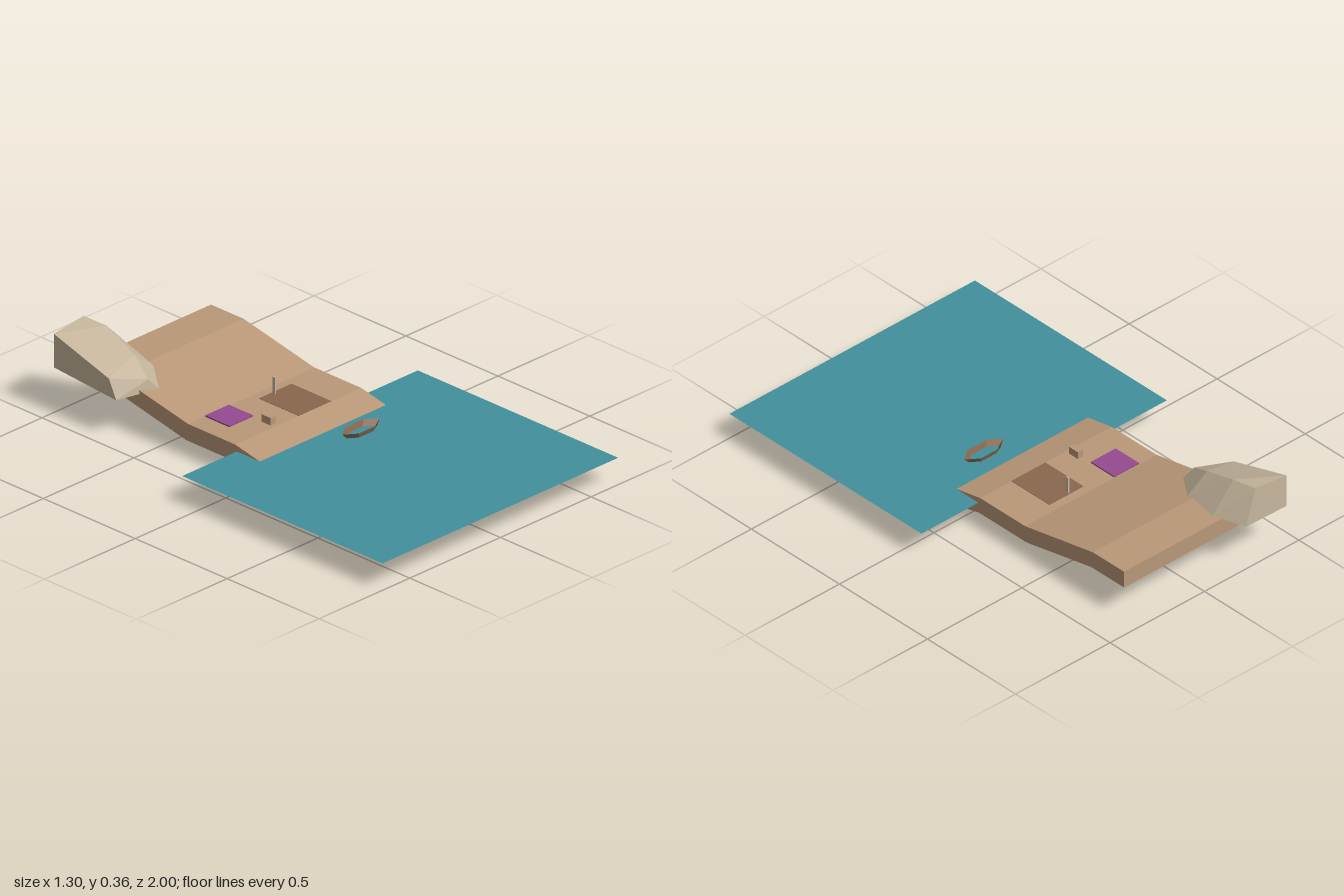
import * as THREE from 'three';
import { ConvexGeometry } from 'three/addons/geometries/ConvexGeometry.js';

function material(name, color, flatShading = true, side = THREE.FrontSide) {
  const m = new THREE.MeshStandardMaterial({ color, flatShading, side });
  m.name = name;
  return m;
}

export function createModel() {
  const group = new THREE.Group();
  const sand = material('sand', 0xba9878);
  const water = material('water', 0x42919c, false, THREE.DoubleSide);
  const stone = material('stone', 0xc6b69c);
  const wood = material('wood', 0x8a674f, true, THREE.DoubleSide);
  const purple = material('purple cloth', 0x954a92);

  const add = (name, geometry, mat, x = 0, y = 0, z = 0) => {
    const mesh = new THREE.Mesh(geometry, mat);
    mesh.name = name;
    mesh.position.set(x, y, z);
    group.add(mesh);
    return mesh;
  };
  // Axis-aligned box from its min and max corners
  const box = (name, mat, [x0, y0, z0], [x1, y1, z1]) =>
    add(name, new THREE.BoxGeometry(x1 - x0, y1 - y0, z1 - z0), mat,
      (x0 + x1) / 2, (y0 + y1) / 2, (z0 + z1) / 2);

  // Beach: stepped slab, side profile in (z, y) extruded across x
  const profile = [
    [0.2, 0], [0.215, 0.08], [-0.1, 0.143], [-0.355, 0.143], [-0.74, 0.22], [-0.917, 0.22],
    [-0.917, 0.145], [-0.73, 0.145], [-0.365, 0.07], [-0.095, 0.07],
  ].map(([z, y]) => new THREE.Vector2(-z, y));
  const beachGeo = new THREE.ExtrudeGeometry(new THREE.Shape(profile), { depth: 0.696, bevelEnabled: false });
  beachGeo.translate(0, 0, -0.348).rotateY(Math.PI / 2);
  add('beach', beachGeo, sand);

  // Sea: flat sheet that meets the slope
  add('sea', new THREE.PlaneGeometry(1.3, 1.09).rotateX(-Math.PI / 2), water, 0, 0.116, 0.455);

  // Rock: faceted boulder, cut flat at the back and outer side
  const rockPoints = [
    [-0.435, 0.34, -1], [-0.27, 0.36, -1], [-0.255, 0.35, -0.89], [-0.275, 0.292, -0.72],
    [-0.31, 0.235, -0.61], [-0.435, 0.25, -0.7],
    [-0.275, 0.19, -0.585], [-0.18, 0.215, -0.71], [-0.155, 0.22, -0.88],
    [-0.22, 0.2, -1], [-0.435, 0.195, -1], [-0.435, 0.17, -0.66],
  ].map((p) => new THREE.Vector3(...p));
  add('rock', new ConvexGeometry(rockPoints), stone);

  // Boat: open six-sided hull, stretched along x
  const sides = new THREE.CylinderGeometry(0.103, 0.066, 0.038, 6, 1, true);
  const floor = new THREE.CircleGeometry(0.066, 6).rotateX(-Math.PI / 2);
  sides.rotateY(Math.PI / 2);
  for (const g of [sides, floor]) g.scale(1, 1, 0.42);
  add('boatHull', sides, wood, 0.112, 0.121, 0.132);
  add('boatFloor', floor, wood, 0.112, 0.102, 0.132);

  // Things laid out on the level terrace
  box('beachMat', purple, [-0.256, 0.142, -0.353], [-0.125, 0.149, -0.222]);
  box('deck', wood, [0.003, 0.14, -0.316], [0.183, 0.1445, -0.1]);
  box('crate', sand, [-0.133, 0.14, -0.168], [-0.106, 0.175, -0.118]);
  box('post', stone, [0.072, 0.14, -0.311], [0.079, 0.216, -0.297]);

  return group;
}
